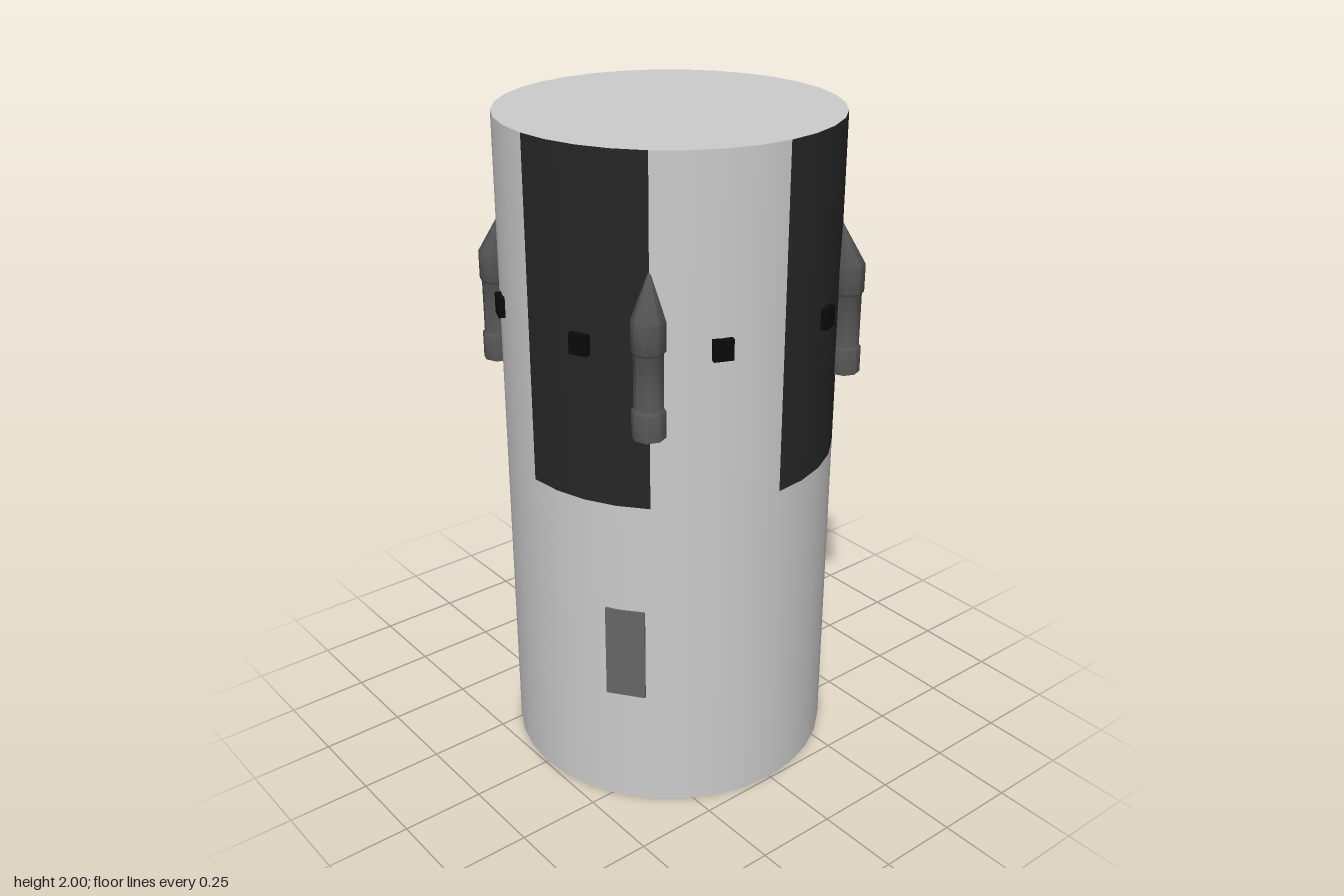
import * as THREE from 'three';
import { toCreasedNormals } from 'three/addons/utils/BufferGeometryUtils.js';

const R = 0.493;
const EIGHTH = Math.PI / 4;

export function createModel() {
  const model = new THREE.Group();
  const mat = (color) => new THREE.MeshStandardMaterial({ color });
  const grey = mat(0xcccccc);
  const black = mat(0x262626);
  const podGrey = mat(0x555555);
  const ventBlack = mat(0x0a0a0a);

  function add(name, geometry, material, parent = model) {
    const mesh = new THREE.Mesh(geometry, material);
    mesh.name = name;
    parent.add(mesh);
    return mesh;
  }

  // Place a part on the hull: angle runs from the front (+z) towards +x
  function place(mesh, angle, radius, y) {
    mesh.position.set(Math.sin(angle) * radius, y, Math.cos(angle) * radius);
    mesh.rotation.y = angle;
  }

  // Plain lower hull
  add('lowerHull', new THREE.CylinderGeometry(R, R, 1, 32, 1, true), grey).position.y = 0.5;

  // Upper hull: alternating dark and light eighths
  for (let i = 0; i < 8; i++) {
    const panel = new THREE.CylinderGeometry(R, R, 1, 4, 1, true, i * EIGHTH, EIGHTH);
    add(i % 2 ? 'lightPanel' : 'darkPanel', panel, i % 2 ? grey : black).position.y = 1.5;
  }

  // End discs
  const disc = new THREE.CircleGeometry(R, 32);
  const top = add('topDisc', disc, grey);
  top.rotation.x = -Math.PI / 2;
  top.position.y = 2;
  add('bottomDisc', disc, grey).rotation.x = Math.PI / 2;

  // Small square vents, one in the middle of each eighth
  const ventGeometry = new THREE.BoxGeometry(0.056, 0.06, 0.03);
  for (let i = 0; i < 8; i++) {
    place(add('vent', ventGeometry, ventBlack), (i + 0.5) * EIGHTH, 0.494, 1.468);
  }

  // Thruster pods: eight-sided, with a nose leaning in to the hull
  const profile = [
    [0, 0], [0.047, 0], [0.047, 0.077], [0.041, 0.085],
    [0.041, 0.24], [0.047, 0.248], [0.047, 0.33], [0, 0.46],
  ].map(([r, y]) => new THREE.Vector2(r, y));
  const pod = new THREE.LatheGeometry(profile, 8);
  const p = pod.attributes.position;
  for (let i = 0; i < p.count; i++) {
    if (p.getY(i) > 0.4) p.setZ(i, -0.028);
  }
  const podGeometry = toCreasedNormals(pod, 0.85);
  for (let i = 0; i < 4; i++) {
    place(add('thrusterPod', podGeometry, podGrey), (2 * i + 1) * EIGHTH, 0.516, 1.232);
  }

  // Flat hatch low on the front left
  const hatch = add('hatch', new THREE.BoxGeometry(0.118, 0.292, 0.02), mat(0x666666));
  place(hatch, 0.63, 0.485, 0.518);

  return model;
}
